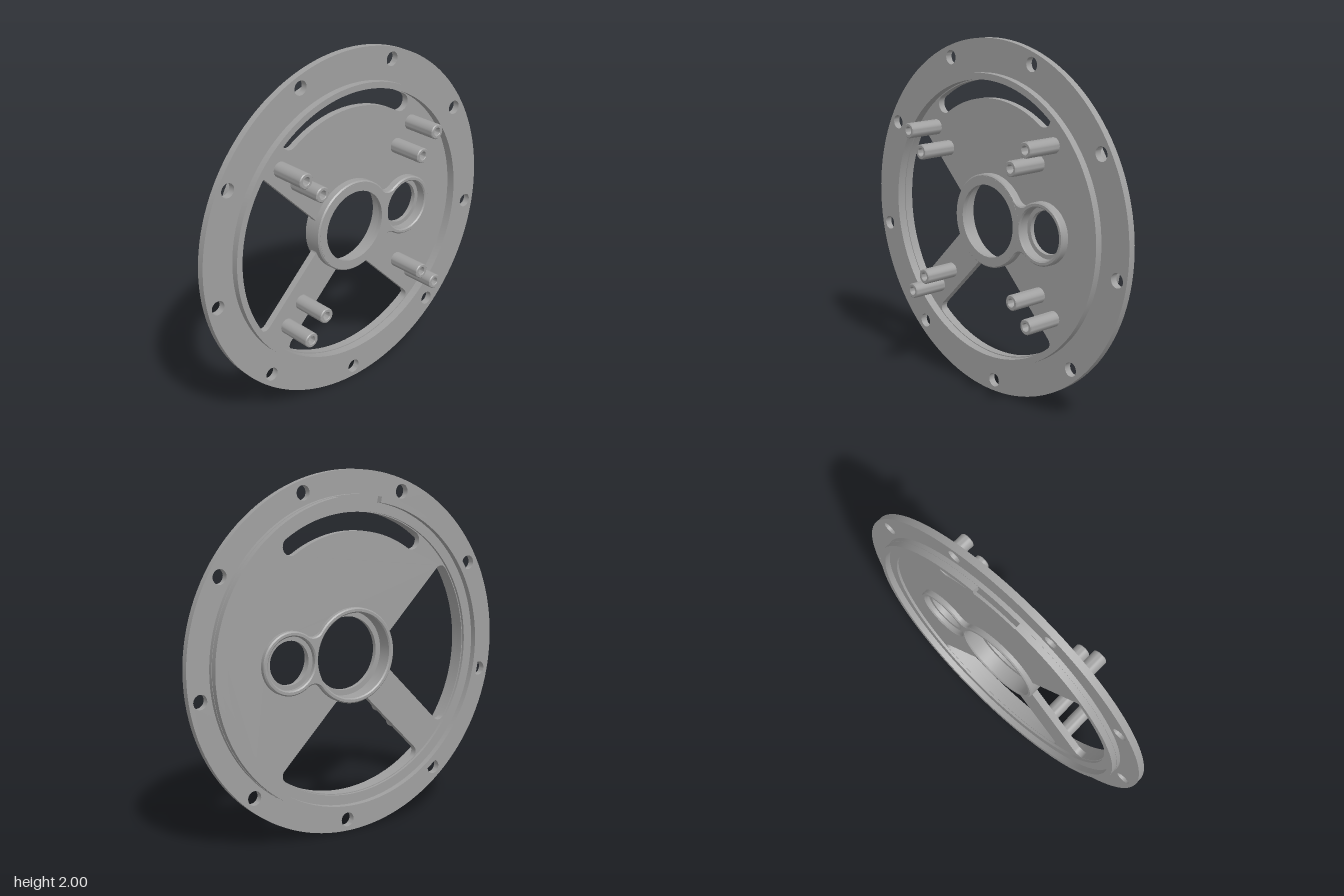
import * as THREE from 'three';
import { toCreasedNormals } from 'three/addons/utils/BufferGeometryUtils.js';

const RAD = Math.PI / 180;
const TAU = Math.PI * 2;

// Points along an arc, angles in radians
function arc(cx, cy, r, a0, a1, n = 10) {
  return Array.from({ length: n + 1 }, (_, i) => {
    const a = a0 + (a1 - a0) * i / n;
    return new THREE.Vector2(cx + r * Math.cos(a), cy + r * Math.sin(a));
  });
}

const circle = (x, y, r, n = 48) => new THREE.Path(arc(x, y, r, 0, TAU, n).slice(0, -1));
const disc = (r, n = 128) => new THREE.Shape(arc(0, 0, r, 0, TAU, n).slice(0, -1));

// Quadrant window between two spokes: outer arc, inner arc and four rounded corners
function windowPath(turn) {
  const R = 0.775, H = 0.258, d = 0.104, fo = 0.04, fi = 0.025, q = Math.PI / 4;
  const ro = R - fo, ri = H + fi;
  const ao = q - Math.asin((d + fo) / ro);
  const ai = q - Math.asin((d + fi) / ri);
  const at = (r, a, f, a0, a1) => arc(r * Math.cos(a), r * Math.sin(a), f, a0, a1, 8);
  const pts = [
    ...arc(0, 0, R, -ao, ao, 40),
    ...at(ro, ao, fo, ao, 3 * q).slice(1),
    ...at(ri, ai, fi, 3 * q, ai + Math.PI),
    ...arc(0, 0, H, ai, -ai, 12).slice(1),
    ...at(ri, -ai, fi, Math.PI - ai, 5 * q).slice(1),
    ...at(ro, -ao, fo, 5 * q, TAU - ao).slice(0, -1),
  ];
  const zero = new THREE.Vector2();
  return new THREE.Path(pts.map(p => p.rotateAround(zero, turn)));
}

// Curved slot with round ends
function slotPath(rIn, rOut, a0, a1) {
  const m = (rIn + rOut) / 2, f = (rOut - rIn) / 2;
  return new THREE.Path([
    ...arc(0, 0, rOut, a0, a1, 32),
    ...arc(m * Math.cos(a1), m * Math.sin(a1), f, a1, a1 + Math.PI, 12).slice(1),
    ...arc(0, 0, rIn, a1, a0, 32).slice(1),
    ...arc(m * Math.cos(a0), m * Math.sin(a0), f, a0 + Math.PI, a0 + TAU, 12).slice(1, -1),
  ]);
}

// Two joined bosses with a filleted neck
function hubShape(r1, r2, x2, f) {
  const a = r1 + f, b = r2 + f;
  const x = (a * a - b * b + x2 * x2) / (2 * x2);
  const y = Math.sqrt(a * a - x * x);
  const t1 = Math.atan2(y, x), t2 = Math.atan2(y, x - x2);
  return new THREE.Shape([
    ...arc(0, 0, r1, t1, TAU - t1, 64),
    ...arc(x, -y, f, Math.PI - t1, Math.PI - t2, 10).slice(1),
    ...arc(x2, 0, r2, -t2, t2, 48).slice(1),
    ...arc(x, y, f, t2 + Math.PI, t1 + Math.PI, 10).slice(1, -1),
  ]);
}

export function createModel() {
  const model = new THREE.Group();
  model.name = 'mountingPlate';
  model.position.y = 1;
  const metal = new THREE.MeshStandardMaterial({ color: 0xa0a0a0 });
  metal.name = 'grey metal';

  const add = (name, geometry) => {
    const mesh = new THREE.Mesh(toCreasedNormals(geometry, 0.5), metal);
    mesh.name = name;
    model.add(mesh);
    return mesh;
  };
  // Solid between two z levels, with optional chamfer
  const slab = (name, shape, holes, z0, z1, bevel = 0) => {
    shape.holes.push(...holes);
    const geometry = new THREE.ExtrudeGeometry(shape, {
      depth: z1 - z0 - 2 * bevel, bevelEnabled: bevel > 0,
      bevelSize: bevel, bevelThickness: bevel, bevelOffset: -bevel, bevelSegments: 1,
    });
    return add(name, geometry.translate(0, 0, z0 + bevel));
  };

  // Outer flange with nine bolt holes
  const boltHoles = Array.from({ length: 9 }, (_, i) => {
    const a = (31.2 + i * 40) * RAD;
    return circle(0.935 * Math.cos(a), 0.935 * Math.sin(a), 0.04, 28);
  });
  slab('flange', disc(1), [circle(0, 0, 0.78, 128), ...boltHoles], -0.09, -0.05);

  // Raised collars either side of the flange
  slab('frontCollar', disc(0.815), [circle(0, 0, 0.78, 128)], -0.06, -0.01);
  slab('backCollar', disc(0.87), [circle(0, 0, 0.78, 128)], -0.115, -0.085);

  // Thin back lip, interrupted by a notch at the top
  const n0 = 100.6 * RAD, n1 = 442.1 * RAD;
  slab('backLip', new THREE.Shape([
    ...arc(0, 0, 0.868, n0, n1, 120),
    ...arc(0, 0, 0.835, n1, n0, 120),
  ]), [], -0.15, -0.11);

  // Web with two windows, a curved slot and the bore openings
  slab('web', disc(0.79), [
    windowPath(Math.PI),
    windowPath(-Math.PI / 2),
    slotPath(0.674, 0.775, 58 * RAD, 124 * RAD),
    circle(0, 0, 0.24),
    circle(0.4, 0, 0.15),
  ], -0.1, -0.06);

  // Double hub with stepped bores
  slab('hub', hubShape(0.263, 0.173, 0.4, 0.06),
    [circle(0, 0, 0.235, 64), circle(0.4, 0, 0.145)], -0.13, -0.015, 0.007);
  slab('mainBoreLip', disc(0.25, 64), [circle(0, 0, 0.204, 64)], -0.04, -0.0145);
  slab('sideBoreLip', disc(0.15, 48), [circle(0, 0, 0.12)], -0.1, -0.075).position.x = 0.4;

  // Hollow standoffs in four pairs
  const profile = [
    [0, 0.04], [0.022, 0.04], [0.022, 0.147], [0.025, 0.15],
    [0.038, 0.15], [0.043, 0.145], [0.043, -0.07],
  ].map(([r, z]) => new THREE.Vector2(r, z)).reverse();
  const standoff = new THREE.LatheGeometry(profile, 32).rotateX(Math.PI / 2);
  [
    [-0.476, 0.463], [-0.369, 0.356], [0.46, 0.481], [0.353, 0.369],
    [-0.353, -0.364], [-0.46, -0.473], [0.366, -0.35], [0.476, -0.457],
  ].forEach(([x, y]) => add('standoff', standoff.clone()).position.set(x, y, 0));

  return model;
}
